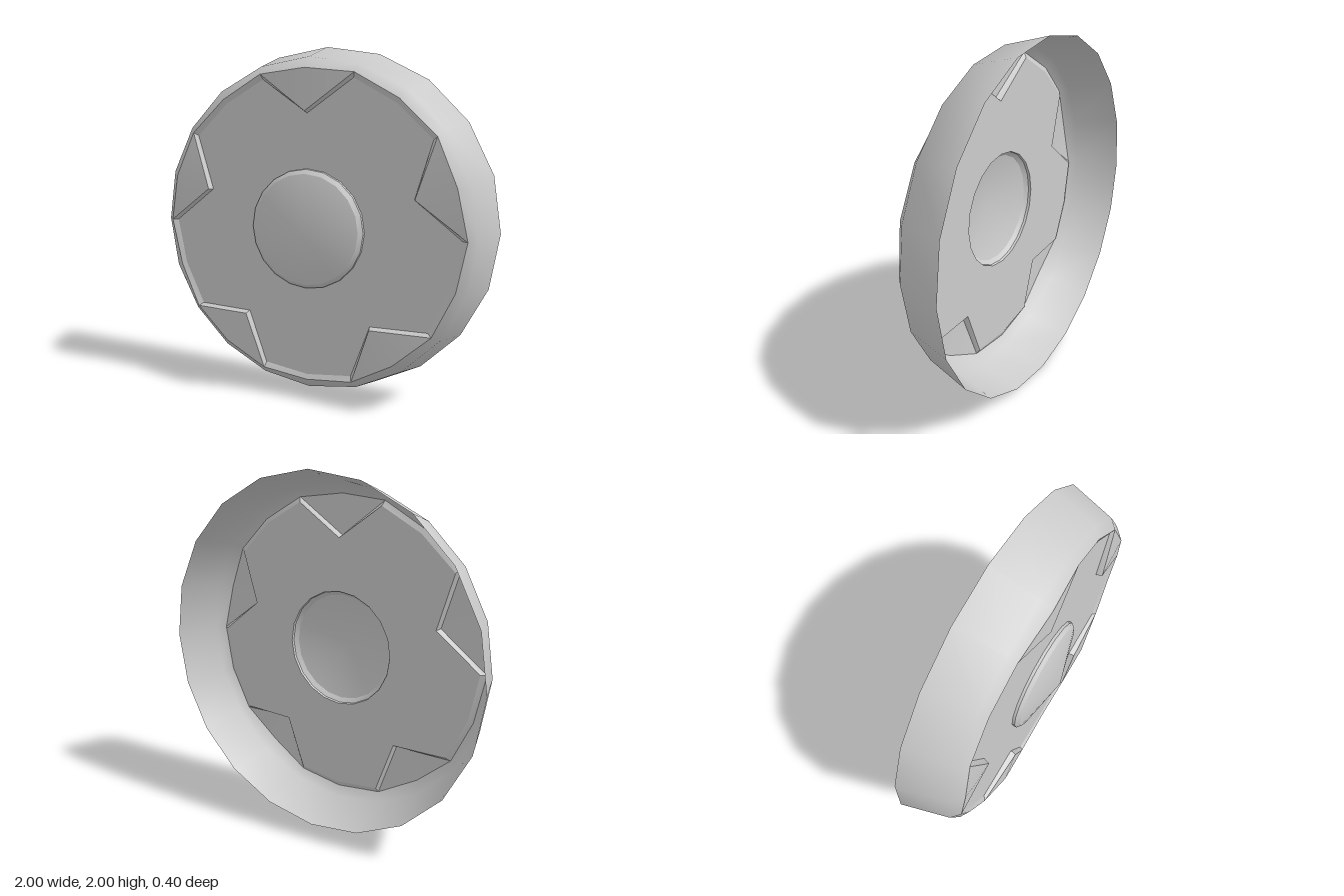
import * as THREE from 'three';
import { toCreasedNormals } from 'three/addons/utils/BufferGeometryUtils.js';

const SIDES = 20;      // facets around the cap; one spoke every four facets
const FLOOR = 0.085;   // depth of the recessed plate

export function createModel() {
  const group = new THREE.Group();
  group.name = 'wheelCover';
  const material = new THREE.MeshStandardMaterial({ color: 0xcccccc, side: THREE.DoubleSide });

  const add = (name, geometry) => {
    const mesh = new THREE.Mesh(geometry, material);
    mesh.name = name;
    mesh.position.y = 1;
    group.add(mesh);
  };
  const polar = (k, r, z) => {
    const a = (k / SIDES) * Math.PI * 2;
    return [r * Math.cos(a), r * Math.sin(a), z];
  };
  const fromQuads = (quads, crease = 0.6) => {
    const pos = [];
    for (const [a, b, c, d] of quads) {
      pos.push(...a, ...b, ...c);
      if (d) pos.push(...a, ...c, ...d);
    }
    const g = new THREE.BufferGeometry();
    g.setAttribute('position', new THREE.Float32BufferAttribute(pos, 3));
    return toCreasedNormals(g, crease);
  };

  // Cross-section points; the rim rises at each spoke and dips between them
  const phase = (k) => (((k - 1) % 4) + 4) % 4; // 0 spoke centre, 2 valley, 1 and 3 corners
  const back = (k) => polar(k, 1, -0.2);
  const shoulder = (k) => polar(k, 0.93, 0.06);
  const rim = (k) => polar(k, [0.87, 0.885, 0.875, 0.885][phase(k)], [0.12, 0.103, 0.095, 0.103][phase(k)]);
  const plateEdge = (k) => polar(k, phase(k) === 2 ? 0.847 : 0.856, FLOOR);
  const tipTop = (k) => polar(k, 0.645, 0.12);
  const tipBottom = (k) => polar(k, 0.633, FLOOR);

  // Tapered outer wall with its front bevel
  const shell = [];
  for (let k = 0; k < SIDES; k++) {
    shell.push([back(k), back(k + 1), shoulder(k + 1), shoulder(k)]);
    shell.push([shoulder(k), shoulder(k + 1), rim(k + 1), rim(k)]);
  }
  add('outerShell', fromQuads(shell, 0.8));

  // Five raised pointed spokes and the thin lip between them
  const spokes = [], lip = [], outline = [];
  for (let c = 1; c < SIDES; c += 4) {
    spokes.push([rim(c - 1), rim(c), tipTop(c)], [rim(c), rim(c + 1), tipTop(c)]);
    spokes.push([rim(c - 1), tipTop(c), tipBottom(c), plateEdge(c - 1)]);
    spokes.push([tipTop(c), rim(c + 1), plateEdge(c + 1), tipBottom(c)]);
    for (const k of [c + 1, c + 2]) lip.push([rim(k), rim(k + 1), plateEdge(k + 1), plateEdge(k)]);
    outline.push(tipBottom(c), plateEdge(c + 1), plateEdge(c + 2), plateEdge(c + 3));
  }
  add('spokes', fromQuads(spokes));
  add('lip', fromQuads(lip));

  // Recessed star-shaped plate, open behind the hub
  const to2D = ([x, y]) => new THREE.Vector2(x, y);
  const star = new THREE.Shape(outline.map(to2D));
  const hole = Array.from({ length: SIDES }, (_, k) => to2D(polar(-k, 0.335, 0)));
  star.holes.push(new THREE.Path(hole));
  add('plate', new THREE.ShapeGeometry(star).translate(0, 0, FLOOR));

  // Hollow conical hub with a bevelled collar
  const lathe = (points) => toCreasedNormals(
    new THREE.LatheGeometry(points.map(([r, z]) => new THREE.Vector2(r, z)), SIDES).rotateX(Math.PI / 2), 0.6);
  add('hubCollar', lathe([[0.335, FLOOR], [0.333, 0.1], [0.31, 0.12]]));
  add('hubCone', lathe([[0.31, 0.12], [0, 0.2]]));

  return group;
}
